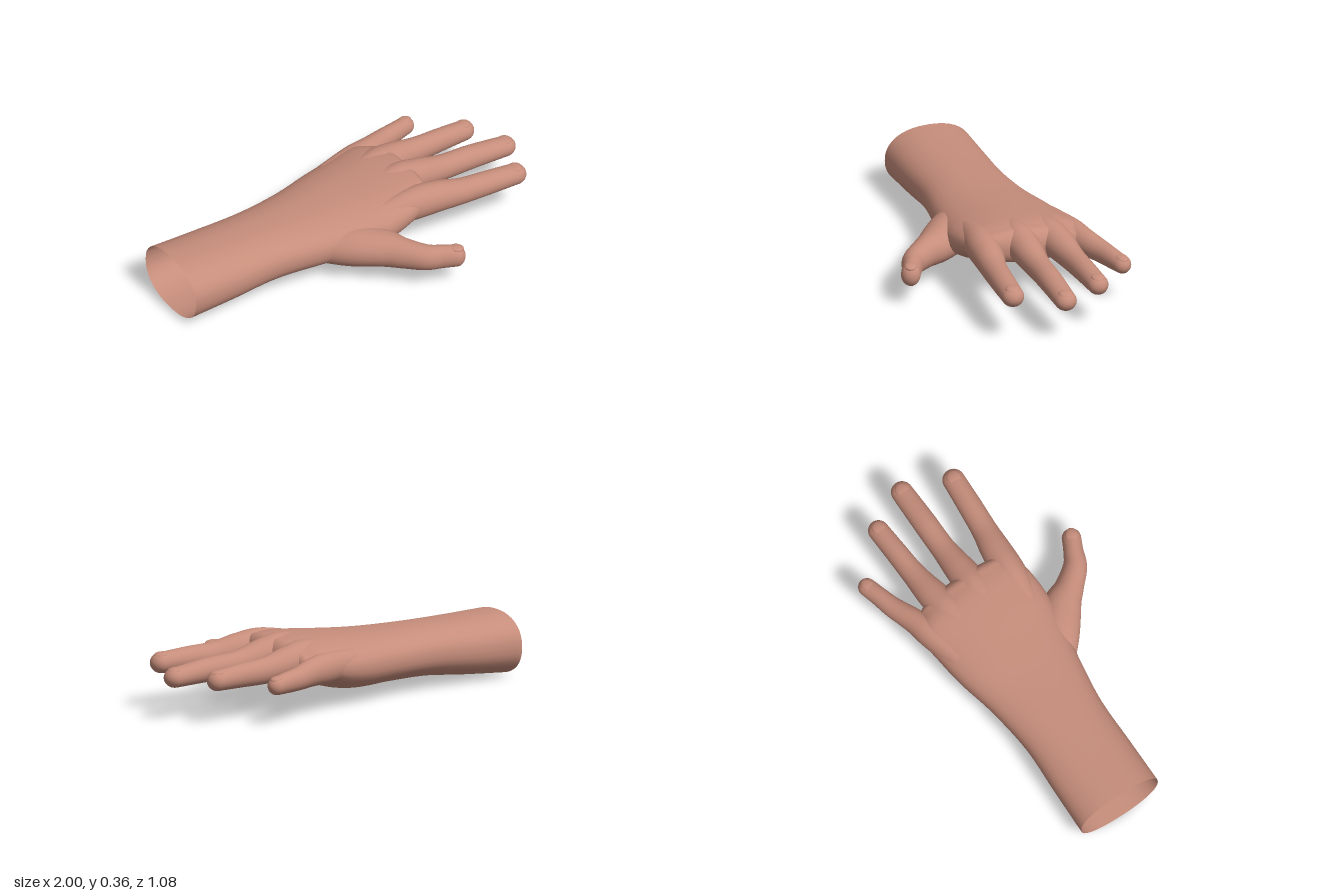
import * as THREE from 'three';

const SIDES = 40;
const bulge = (v, power) => Math.sign(v) * Math.pow(Math.abs(v), power);

// Skin a limb over stations [x, y, z, halfWidth, halfHeight, sideLift]; the far end is rounded over tipLength.
function limb(stations, tipLength, { straight = false, power = 1, steps = 8 } = {}) {
  const spline = (a, b, c) => new THREE.CatmullRomCurve3(
    stations.map((s) => new THREE.Vector3(s[a], s[b], s[c] ?? 0)), false, 'catmullrom', 0.5);
  const centres = spline(0, 1, 2);
  const sizes = spline(3, 4, 5);
  const up = new THREE.Vector3(0, 1, 0);
  const positions = [];
  const index = [];
  let rings = 0;

  const addRing = (centre, side, size, scale) => {
    for (let j = 0; j < SIDES; j++) {
      const a = (j / SIDES) * Math.PI * 2;
      const u = bulge(Math.cos(a), power) * scale;
      const v = bulge(Math.sin(a), power) * scale;
      const p = centre.clone().addScaledVector(side, u * size.x);
      positions.push(p.x, p.y + v * size.y + u * size.z, p.z);
    }
    rings++;
  };
  const heading = (t) => {
    if (straight) return new THREE.Vector3(1, 0, 0);
    return centres.getTangent(t).setY(0).normalize();
  };

  const count = (stations.length - 1) * steps;
  for (let i = 0; i <= count; i++) {
    const t = i / count;
    addRing(centres.getPoint(t), heading(t).cross(up), sizes.getPoint(t), 1);
  }
  // Rounded tip
  const forward = heading(1);
  const side = forward.clone().cross(up);
  for (let k = 1; k <= 10; k++) {
    const a = (k / 10) * Math.PI / 2;
    const centre = centres.getPoint(1).addScaledVector(forward, Math.sin(a) * tipLength);
    addRing(centre, side, sizes.getPoint(1), Math.max(Math.cos(a), 0.001));
  }
  for (let i = 0; i < rings - 1; i++) {
    for (let j = 0; j < SIDES; j++) {
      const a = i * SIDES + j;
      const b = i * SIDES + (j + 1) % SIDES;
      index.push(a, a + SIDES, b, b, a + SIDES, b + SIDES);
    }
  }
  const geometry = new THREE.BufferGeometry();
  geometry.setAttribute('position', new THREE.Float32BufferAttribute(positions, 3));
  geometry.setIndex(index);
  geometry.computeVertexNormals();
  return geometry;
}

// Each digit runs from inside the palm to its tip
const DIGITS = {
  indexFinger: { tip: 0.055, path: [
    [0.1, 0.25, 0.11, 0.06, 0.07], [0.28, 0.262, 0.12, 0.078, 0.086], [0.42, 0.255, 0.128, 0.076, 0.08],
    [0.55, 0.242, 0.143, 0.064, 0.066], [0.7, 0.24, 0.155, 0.06, 0.06], [0.85, 0.237, 0.165, 0.056, 0.052]] },
  middleFinger: { tip: 0.055, path: [
    [0.1, 0.265, -0.06, 0.06, 0.07], [0.3, 0.272, -0.068, 0.085, 0.088], [0.43, 0.256, -0.074, 0.077, 0.083],
    [0.58, 0.235, -0.078, 0.062, 0.066], [0.75, 0.23, -0.078, 0.06, 0.06], [0.945, 0.215, -0.077, 0.055, 0.05]] },
  ringFinger: { tip: 0.053, path: [
    [0.1, 0.26, -0.2, 0.06, 0.07], [0.28, 0.262, -0.235, 0.085, 0.086], [0.4, 0.25, -0.258, 0.077, 0.081],
    [0.55, 0.232, -0.272, 0.06, 0.066], [0.7, 0.228, -0.28, 0.055, 0.059], [0.84, 0.222, -0.287, 0.052, 0.051]] },
  littleFinger: { tip: 0.047, path: [
    [0.05, 0.225, -0.33, 0.06, 0.07], [0.24, 0.225, -0.375, 0.068, 0.078], [0.35, 0.222, -0.405, 0.06, 0.07],
    [0.47, 0.212, -0.45, 0.051, 0.058], [0.56, 0.208, -0.475, 0.046, 0.052], [0.63, 0.205, -0.495, 0.045, 0.046]] },
  thumb: { tip: 0.045, path: [
    [-0.25, 0.165, 0, 0.1, 0.085], [-0.1, 0.168, 0.13, 0.115, 0.1], [0.02, 0.172, 0.245, 0.1, 0.09],
    [0.085, 0.17, 0.335, 0.073, 0.078], [0.16, 0.168, 0.42, 0.06, 0.067], [0.23, 0.168, 0.458, 0.05, 0.062],
    [0.295, 0.167, 0.49, 0.048, 0.058]] },
};

export function createModel() {
  const group = new THREE.Group();
  group.name = 'hand';
  const skin = new THREE.MeshStandardMaterial({ color: 0xc68d7b, side: THREE.DoubleSide });
  skin.name = 'skin';
  const add = (name, geometry) => {
    const mesh = new THREE.Mesh(geometry, skin);
    mesh.name = name;
    group.add(mesh);
    return mesh;
  };

  // Forearm, wrist and palm in one skin, open at the cut end
  add('forearmAndPalm', limb([
    [-1, 0.1625, -0.0975, 0.2275, 0.1575, 0],
    [-0.75, 0.17, -0.095, 0.225, 0.144, 0],
    [-0.5, 0.182, -0.0925, 0.2225, 0.131, 0],
    [-0.25, 0.186, -0.09, 0.255, 0.131, 0],
    [-0.05, 0.193, -0.095, 0.295, 0.138, 0],
    [0.1, 0.212, -0.1, 0.315, 0.132, 0.006],
    [0.25, 0.245, -0.115, 0.316, 0.108, 0.012],
    [0.34, 0.256, -0.105, 0.275, 0.09, 0.015],
  ], 0.065, { straight: true, power: 0.88 }));

  // Digits, each with a thin nail lying on the last joint
  for (const [name, { path, tip }] of Object.entries(DIGITS)) {
    add(name, limb(path, tip));
    const [x, y, z, halfWidth, halfHeight] = path[path.length - 1];
    const before = path[path.length - 2];
    const nail = add(name + 'Nail', new THREE.SphereGeometry(1, 20, 12));
    nail.scale.set(0.038, 0.014, halfWidth * 0.65);
    nail.position.set(x, y + halfHeight - 0.012, z);
    nail.rotation.order = 'YZX';
    nail.rotation.set(0, -Math.atan2(z - before[2], x - before[0]), -0.12);
  }
  return group;
}
